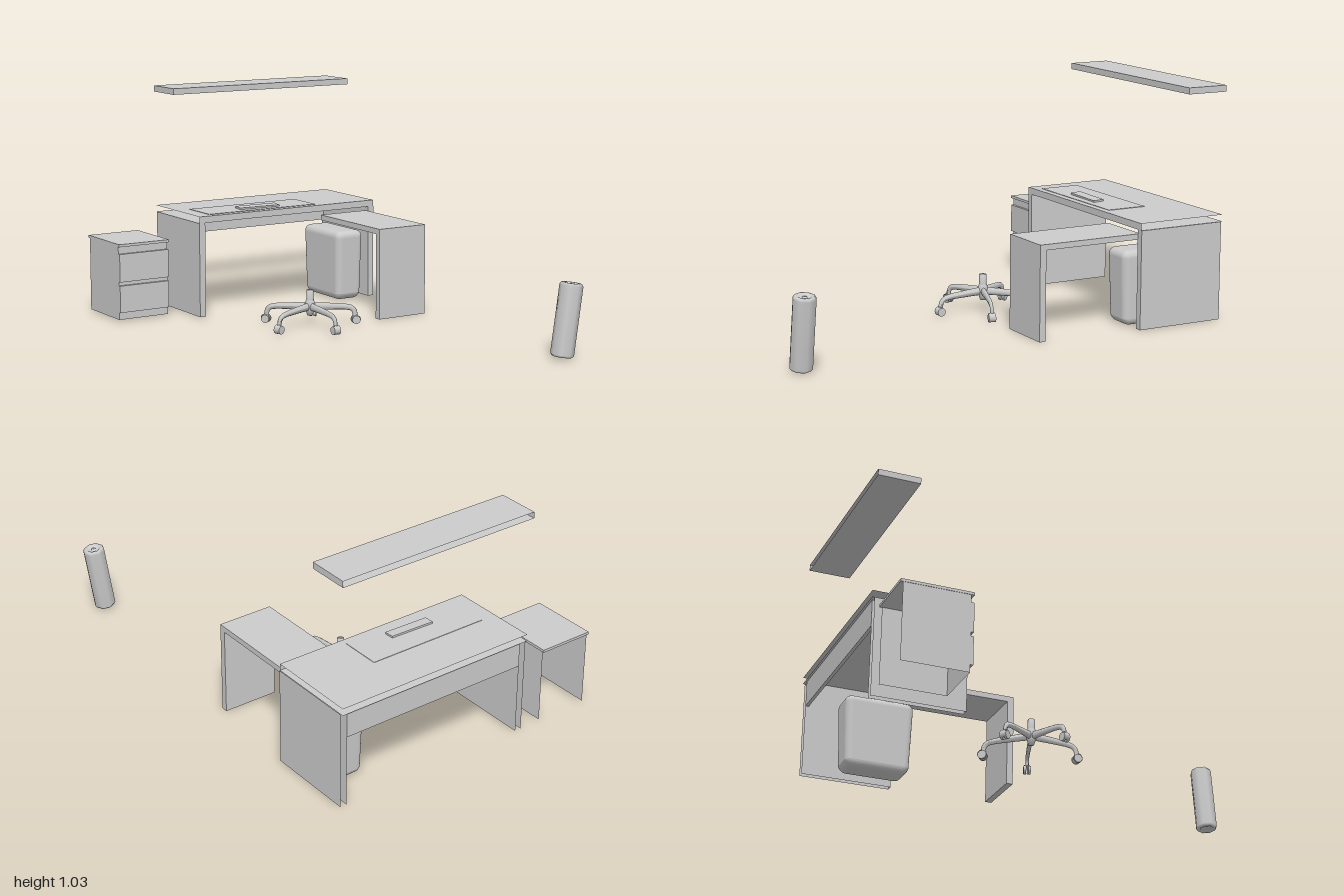
import * as THREE from 'three';
import { RoundedBoxGeometry } from 'three/addons/geometries/RoundedBoxGeometry.js';

const mat = new THREE.MeshStandardMaterial({ color: 0xcccccc, side: THREE.DoubleSide });
const FACES = ['px', 'nx', 'py', 'ny', 'pz', 'nz'];

function add(parent, name, geometry, x = 0, y = 0, z = 0) {
  const mesh = new THREE.Mesh(geometry, mat);
  mesh.name = name;
  mesh.position.set(x, y, z);
  parent.add(mesh);
  return mesh;
}

function group(parent, name) {
  const g = new THREE.Group();
  g.name = name;
  parent.add(g);
  return g;
}

// Box given by its limits; the faces listed in "open" are left out
function board(parent, name, [x0, x1], [y0, y1], [z0, z1], open = '') {
  const geo = new THREE.BoxGeometry(x1 - x0, y1 - y0, z1 - z0);
  const index = Array.from(geo.index.array);
  geo.setIndex(FACES.flatMap((f, i) => (open.includes(f) ? [] : index.slice(i * 6, i * 6 + 6))));
  geo.clearGroups();
  return add(parent, name, geo, (x0 + x1) / 2, (y0 + y1) / 2, (z0 + z1) / 2);
}

function makeDesk(root) {
  const desk = group(root, 'desk');
  board(desk, 'deskTop', [-0.3, 0.648], [0.435, 0.465], [-1, -0.583], 'px nx nz');
  for (const [name, x] of [['deskRightLeg', -0.3], ['deskLeftLeg', 0.62]])
    board(desk, name, [x, x + 0.03], [0.002, 0.435], [-0.99, -0.583], 'nz ny py');
  board(desk, 'modestyPanel', [-0.27, 0.62], [0.32, 0.435], [-0.99, -0.975], 'px nx py');
  board(desk, 'deskMat', [-0.23, 0.34], [0.465, 0.467], [-0.8, -0.615], 'ny');
  const keyboard = board(desk, 'keyboard', [-0.043, 0.165], [0.468, 0.476], [-0.7, -0.652]);
  keyboard.rotation.set(0.06, -0.03, 0);

  // Side table running forward from the desk
  const side = group(root, 'sideTable');
  board(side, 'sideTableTop', [0.363, 0.615], [0.39, 0.415], [-0.6, -0.108]);
  board(side, 'sideTableLeg', [0.363, 0.615], [0, 0.39], [-0.137, -0.108], 'py');
}

function makeCabinet(root) {
  const cabinet = group(root, 'drawerCabinet');
  board(cabinet, 'cabinetBody', [-0.65, -0.402], [0.008, 0.343], [-0.99, -0.705], 'nz ny py');
  board(cabinet, 'cabinetTop', [-0.652, -0.398], [0.343, 0.355], [-1, -0.692]);
  for (const [y0, y1] of [[0.042, 0.165], [0.182, 0.31]])
    board(cabinet, 'drawerFront', [-0.65, -0.402], [y0, y1], [-0.705, -0.692], 'nz');
}

function makeChairBase(root) {
  const base = group(root, 'chairBase');
  base.position.set(0.025, 0, -0.163);
  // Hub and gas column
  const profile = [[0, 0.05], [0.012, 0.05], [0.02, 0.075], [0.024, 0.1], [0.018, 0.118], [0.016, 0.122], [0.016, 0.165], [0, 0.165]];
  add(base, 'column', new THREE.LatheGeometry(profile.map(([r, y]) => new THREE.Vector2(r, y)), 16));

  // Arm: a tapering tube, deeper than wide, that bends down at its tip
  const path = new THREE.CatmullRomCurve3(
    [[0.008, 0.09], [0.1, 0.085], [0.17, 0.079], [0.196, 0.071], [0.208, 0.054], [0.21, 0.035]]
      .map(([z, y]) => new THREE.Vector3(0, y, z)));
  const armGeo = new THREE.TubeGeometry(path, 20, 0.014, 8, false);
  const p = armGeo.attributes.position;
  for (let i = 0; i < p.count; i++) {
    const t = Math.floor(i / 9) / 20;
    const c = path.getPointAt(t);
    const k = 1.3 - 0.5 * t;
    p.setXYZ(i, p.getX(i) * 0.65 * k, c.y + (p.getY(i) - c.y) * k, c.z + (p.getZ(i) - c.z) * k);
  }
  armGeo.computeVertexNormals();
  const wheelGeo = new THREE.CylinderGeometry(0.019, 0.019, 0.011, 14).rotateZ(Math.PI / 2);
  const hoodGeo = new THREE.CylinderGeometry(0.021, 0.021, 0.026, 10, 1, true, -0.9, 2.4).rotateZ(Math.PI / 2);

  for (let i = 0; i < 5; i++) {
    const leg = group(base, 'chairLeg');
    leg.rotation.y = (i * Math.PI * 2) / 5;
    add(leg, 'arm', armGeo);
    for (const s of [-1, 1]) add(leg, 'casterWheel', wheelGeo, s * 0.01, 0.019, 0.212);
    add(leg, 'casterHood', hoodGeo, 0, 0.021, 0.212);
  }
}

function makeLeaningCylinder(root) {
  // Eight-sided drum with chamfered rims and a recessed top
  const profile = [[0, 0.01], [0.028, 0.01], [0.032, 0], [0.042, 0], [0.05, 0.01], [0.05, 0.3], [0.043, 0.311],
    [0.03, 0.311], [0.022, 0.3], [0.012, 0.3], [0.01, 0.308], [0, 0.308]];
  const drum = add(root, 'leaningDrum',
    new THREE.LatheGeometry(profile.map(([r, y]) => new THREE.Vector2(r, y)), 8), 0.558, 0.011, 0.95);
  drum.rotation.z = -0.148;
}

export function createModel() {
  const root = new THREE.Group();
  root.name = 'officeSet';
  board(root, 'wallShelf', [-0.302, 0.65], [1, 1.028], [-1, -0.81], 'nz');
  makeDesk(root);
  makeCabinet(root);
  makeChairBase(root);
  makeLeaningCylinder(root);
  // Rounded bin under the side table, narrowing to its base
  const bin = new RoundedBoxGeometry(0.145, 0.33, 0.31, 4, 0.03);
  const p = bin.attributes.position;
  for (let i = 0; i < p.count; i++) {
    const k = 1 - 0.12 * Math.max(0, (-0.1 - p.getY(i)) / 0.065);
    p.setX(i, p.getX(i) * k);
    p.setZ(i, p.getZ(i) * k);
  }
  bin.computeVertexNormals();
  add(root, 'bin', bin, 0.5, 0.166, -0.705);
  return root;
}
